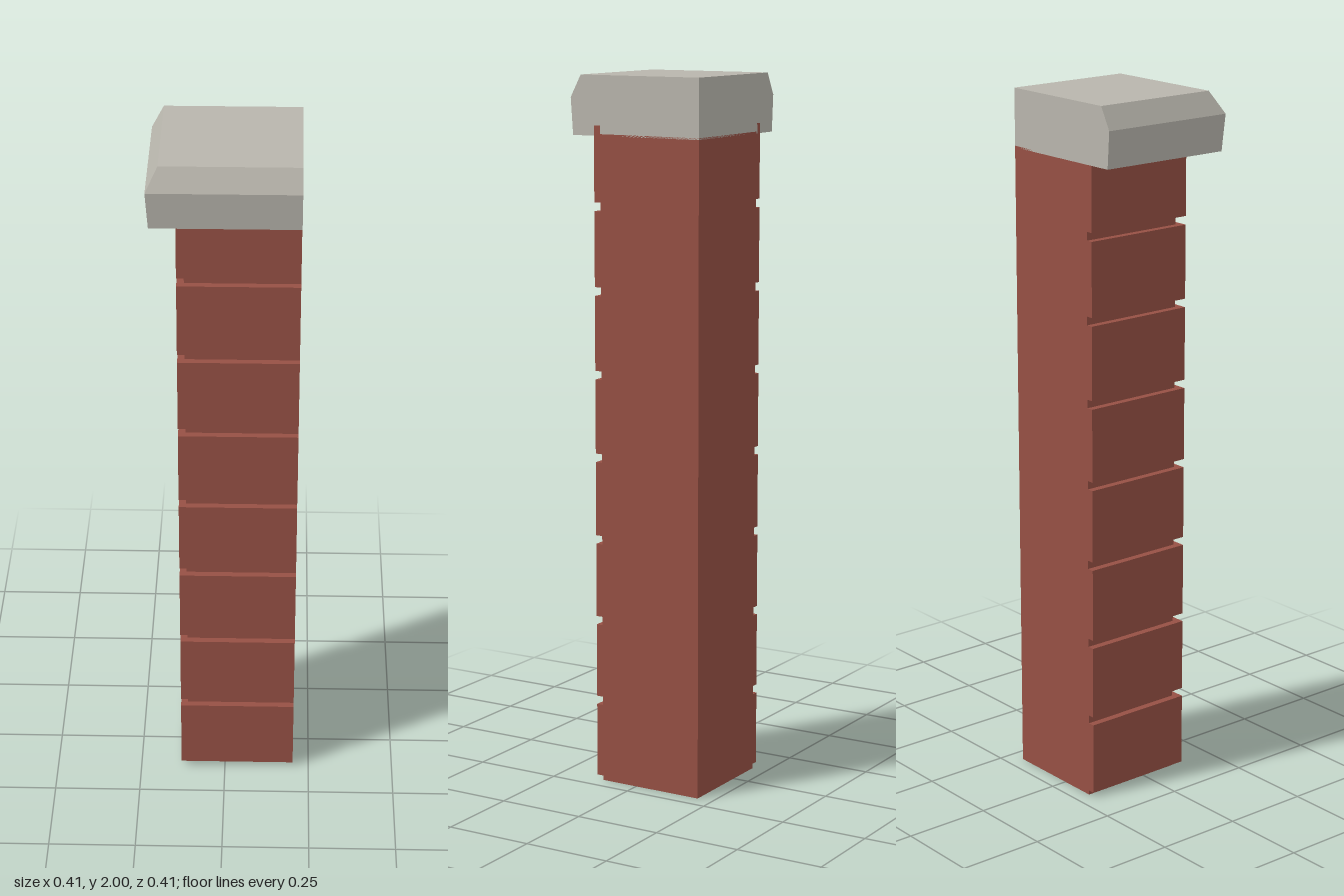
import * as THREE from 'three';

const E = 0.203; // flat joining faces at x = +E and z = -E

export function createModel() {
  const model = new THREE.Group();
  model.name = 'cornerPillar';
  const brick = new THREE.MeshStandardMaterial({ color: 0x965044 });
  brick.name = 'brick red';
  const stone = new THREE.MeshStandardMaterial({ color: 0xb8b5ac });
  stone.name = 'cap stone';

  const add = (name, geometry, material) => {
    const mesh = new THREE.Mesh(geometry, material);
    mesh.name = name;
    model.add(mesh);
    return mesh;
  };

  // Plain square core, set back behind the courses
  const inner = 0.11, outer = 0.13, coreH = 1.84;
  const core = new THREE.BoxGeometry(E + inner, coreH, E + inner);
  core.translate((E - inner) / 2, coreH / 2, (inner - E) / 2);
  add('core', core, brick);

  // Raised L-shaped courses wrapping the front and the -x side
  const outline = [[-outer, E], [-outer, -outer], [E, -outer], [E, -inner], [-inner, -inner], [-inner, E]];
  const shape = new THREE.Shape(outline.map(([x, y]) => new THREE.Vector2(x, y)));
  const course = new THREE.ExtrudeGeometry(shape, { depth: 0.21, bevelEnabled: false });
  course.rotateX(-Math.PI / 2);
  for (let i = 0; i < 8; i++) {
    add('brickCourse' + (i + 1), course, brick).position.y = 0.013 + i * 0.2343;
  }

  // Cap stone: overhang and chamfer only on the front and the -x side
  const levels = [[1.835, 0.198], [1.938, 0.205], [2, 0.172]];
  const box = new THREE.BoxGeometry(2, 2, 2, 1, 2, 1);
  const p = box.attributes.position;
  for (let i = 0; i < p.count; i++) {
    const [y, reach] = levels[Math.round(p.getY(i)) + 1];
    p.setXYZ(i, p.getX(i) < 0 ? -reach : E, y, p.getZ(i) > 0 ? reach : -E);
  }
  const cap = box.toNonIndexed();
  cap.computeVertexNormals();
  add('capStone', cap, stone);

  return model;
}
